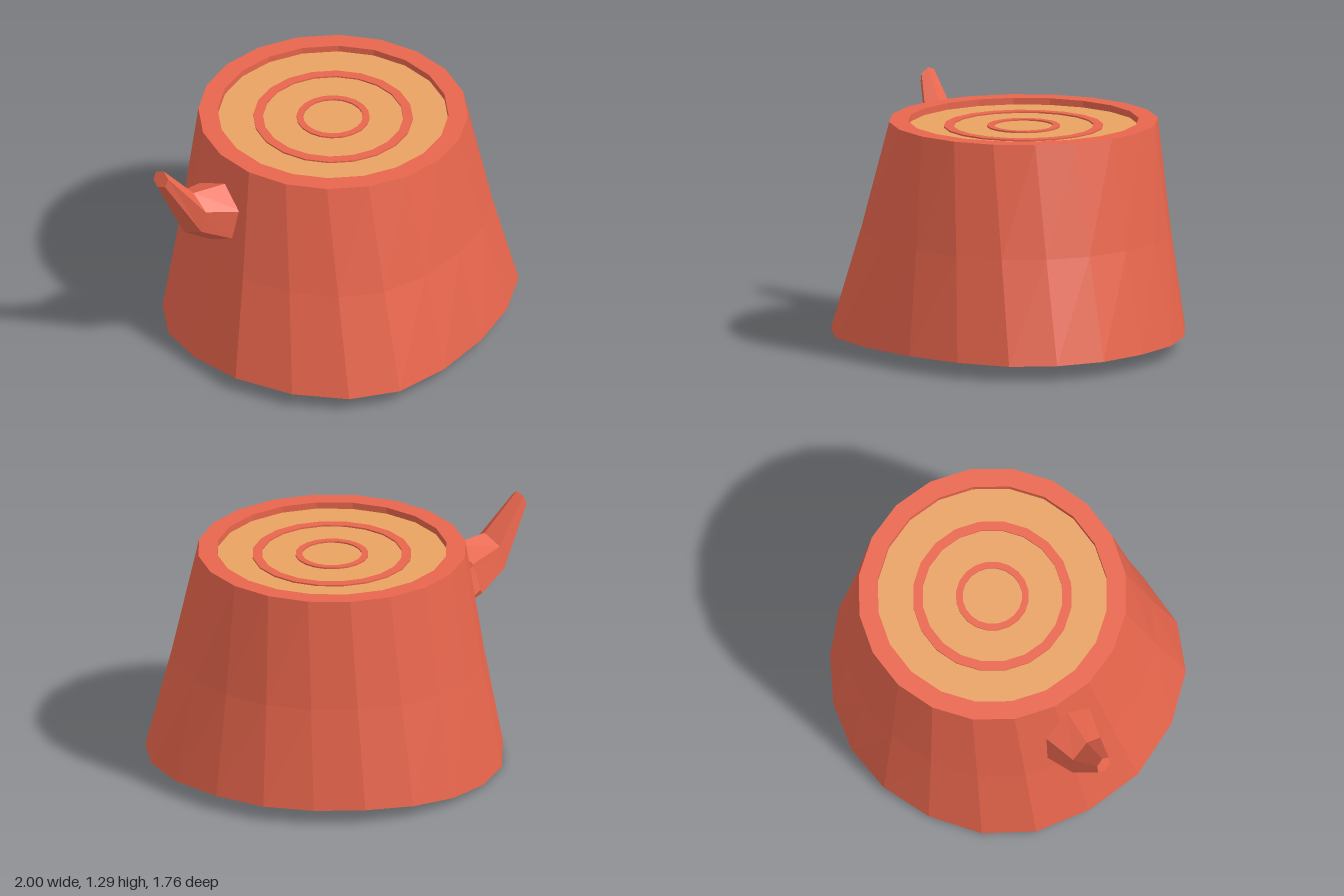
import * as THREE from 'three';

const SIDES = 20;
const TOP = 1.2;
const FLOOR = 1.165;

const paint = (color) => new THREE.MeshStandardMaterial({ color, flatShading: true, side: THREE.DoubleSide });

// Horizontal ring of points around the cut face, counter-clockwise from +z
function circle(r, y, n = SIDES) {
  return Array.from({ length: n }, (_, i) => {
    const a = (i / n) * Math.PI * 2;
    return new THREE.Vector3(0.1 + r * Math.sin(a), y, -0.03 + r * Math.cos(a));
  });
}

// Faceted skin through a list of rings, optionally capped at the last one
function loft(name, rings, material, cap = false) {
  const pos = [];
  const tri = (...pts) => pts.forEach((p) => pos.push(p.x, p.y, p.z));
  const n = rings[0].length;
  for (let k = 0; k < rings.length - 1; k++) {
    const a = rings[k], b = rings[k + 1];
    for (let i = 0; i < n; i++) {
      const j = (i + 1) % n;
      tri(a[i], a[j], b[j]);
      tri(a[i], b[j], b[i]);
    }
  }
  if (cap) {
    const last = rings[rings.length - 1];
    for (let i = 1; i < n - 1; i++) tri(last[0], last[i], last[i + 1]);
  }
  const geo = new THREE.BufferGeometry();
  geo.setAttribute('position', new THREE.Float32BufferAttribute(pos, 3));
  geo.computeVertexNormals();
  const mesh = new THREE.Mesh(geo, material);
  mesh.name = name;
  return mesh;
}

export function createModel() {
  const group = new THREE.Group();
  group.name = 'treeStump';
  const bark = paint(0xe9664d);
  const wood = paint(0xe8a262);

  // Uneven foot outline (x, z), dipping at the back right corner
  const foot = [
    [0.22, 0.86], [0.52, 0.79], [0.78, 0.66], [0.93, 0.46], [1, 0.2],
    [0.98, -0.08], [0.9, -0.35], [0.75, -0.57], [0.55, -0.75], [0.31, -0.86],
    [0.05, -0.885], [-0.22, -0.83], [-0.48, -0.7], [-0.68, -0.5], [-0.8, -0.23],
    [-0.85, 0.08], [-0.78, 0.4], [-0.63, 0.66], [-0.41, 0.82], [-0.11, 0.875],
  ];
  const dip = { 9: 0.065, 10: 0.04, 11: 0.015, 12: 0, 13: 0.02, 14: 0.05 };
  const base = foot.map(([x, z], i) => new THREE.Vector3(x, dip[i] ?? 0.08, z));
  const top = circle(0.7, TOP);
  const middle = base.map((p, i) => {
    const m = p.clone().lerp(top[i], 0.48);
    m.x = 0.08 + (m.x - 0.08) * 0.99;
    m.z *= 0.99;
    return m;
  });

  // Hollow trunk, open underneath
  group.add(loft('trunk', [base, middle, top], bark));

  // Bark rim with the step down to the cut wood
  group.add(loft('rim', [top, circle(0.6, TOP), circle(0.6, FLOOR)], bark));
  group.add(loft('cutWood', [circle(0.6, FLOOR), circle(0.3, FLOOR)], wood, true));

  // Growth rings, slightly raised
  for (const [inner, outer] of [[0.155, 0.19], [0.365, 0.415]]) {
    const y = FLOOR + 0.008;
    group.add(loft('growthRing',
      [circle(outer, FLOOR), circle(outer, y), circle(inner, y), circle(inner, FLOOR)], bark));
  }

  // Bent branch stub: centre, half-height direction (x, y) and half-width in z
  const sections = [
    { c: [-0.63, 0.89, -0.215], u: [0.035, 0.17], w: 0.175 },
    { c: [-0.81, 0.96, -0.26], u: [0.015, 0.125], w: 0.115 },
    { c: [-0.983, 1.243, -0.31], u: [0.016, 0.045], w: 0.048 },
  ].map(({ c, u, w }) => Array.from({ length: 6 }, (_, i) => {
    const a = ((i + 0.35) / 6) * Math.PI * 2;
    const s = Math.sin(a);
    return new THREE.Vector3(c[0] + u[0] * s, c[1] + u[1] * s, c[2] + w * Math.cos(a));
  }));
  group.add(loft('branch', sections, bark, true));

  return group;
}
